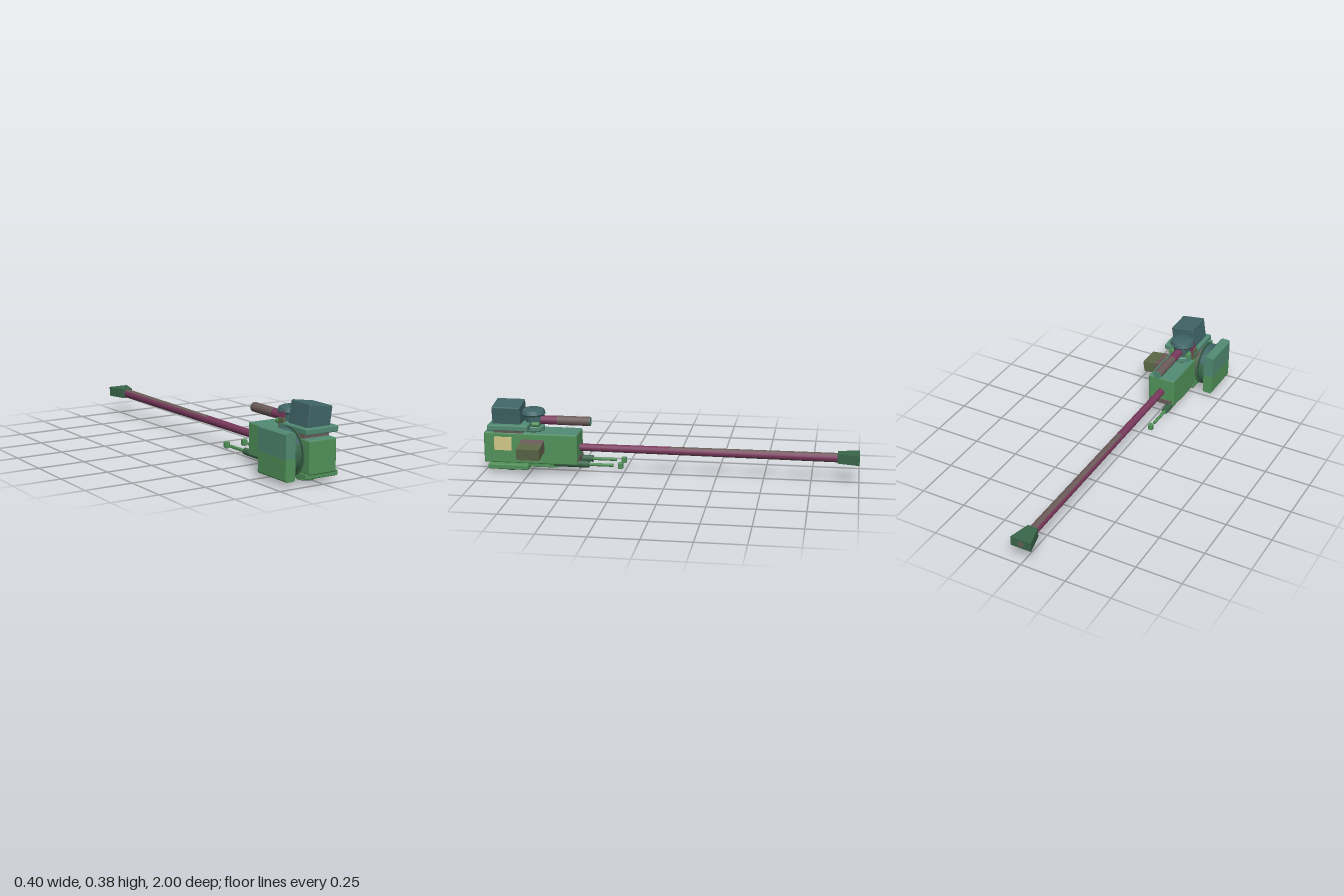
import * as THREE from 'three';
import { toCreasedNormals } from 'three/addons/utils/BufferGeometryUtils.js';
import { RoundedBoxGeometry } from 'three/addons/geometries/RoundedBoxGeometry.js';

const paint = (name, color) => Object.assign(new THREE.MeshStandardMaterial({ color }), { name });

export function createModel() {
  const model = new THREE.Group();
  model.name = 'turret';
  const green = paint('green', 0x52935a);
  const teal = paint('light teal', 0x528b75);
  const darkTeal = paint('dark teal', 0x406567);
  const purple = paint('purple', 0x7a395d);
  const mauve = paint('mauve', 0x6c5c5a);
  const olive = paint('olive', 0x5d6948);
  const yellow = paint('pale yellow', 0xd0c888);
  const darkGreen = paint('dark green', 0x3a674b);

  function add(name, geometry, material, x = 0, y = 0, z = 0) {
    const mesh = new THREE.Mesh(geometry, material);
    mesh.name = name;
    mesh.position.set(x, y, z);
    model.add(mesh);
    return mesh;
  }
  // Chamfered box from its limits
  function block(name, material, [x0, x1], [y0, y1], [z0, z1], bevel = 0.006) {
    const geo = new RoundedBoxGeometry(x1 - x0, y1 - y0, z1 - z0, 1, bevel);
    return add(name, geo, material, (x0 + x1) / 2, (y0 + y1) / 2, (z0 + z1) / 2);
  }
  // Turned part with chamfered rims, local axis y
  function turned(r, h, bevel, start = 0, length = Math.PI * 2) {
    const pts = [[0, -h / 2], [r - bevel, -h / 2], [r, -h / 2 + bevel], [r, h / 2 - bevel], [r - bevel, h / 2], [0, h / 2]];
    const geo = new THREE.LatheGeometry(pts.map(p => new THREE.Vector2(...p)), 32, start, length);
    return toCreasedNormals(geo, 0.6);
  }
  // Tube along z between z0 (back) and z1 (front)
  function tubeZ(name, material, x, y, z0, z1, r0, r1 = r0, sides = 16, open = false, start = 0, length = Math.PI * 2) {
    const geo = new THREE.CylinderGeometry(r1, r0, z1 - z0, sides, 1, open, start, length);
    geo.rotateX(Math.PI / 2);
    return add(name, geo, material, x, y, (z0 + z1) / 2);
  }

  // Main housing
  block('housing', [green, green, teal, green, green, green], [-0.083, 0.075], [0.05, 0.218], [0.49, 1], 0.008);
  block('sidePanel', yellow, [0.072, 0.077], [0.12, 0.195], [0.847, 0.943], 0.001);
  block('backPanel', mauve, [-0.07, 0.06], [0.057, 0.085], [0.487, 0.492], 0.001);

  // Upper and lower mounting plates with foot disc
  block('upperPlate', teal, [-0.083, 0.107], [0.236, 0.267], [0.75, 0.972]);
  block('lowerPlate', green, [-0.083, 0.107], [0.023, 0.052], [0.75, 0.972]);
  add('footDisc', turned(0.048, 0.018, 0.003), green, -0.005, 0.009, 0.865);

  // Tilted head box and its neck
  const tilt = -0.148;
  const head = add('headBox', new RoundedBoxGeometry(0.134, 0.13, 0.155, 1, 0.007), darkTeal, 0.0125, 0.306, 0.872);
  head.rotation.z = tilt;
  const neck = add('neck', new THREE.BoxGeometry(0.148, 0.05, 0.16), mauve, -0.003, 0.222, 0.865);
  neck.rotation.z = tilt * 0.6;

  // Tilted side box in two colours
  const sideBox = new THREE.Group();
  sideBox.name = 'sideBox';
  sideBox.position.set(0.125, 0.144, 0.73);
  sideBox.rotation.z = tilt;
  for (const [name, mat, x0, x1] of [['sideBoxInner', mauve, -0.07, 0], ['sideBoxOuter', olive, 0, 0.072]]) {
    const m = add(name, new THREE.BoxGeometry(x1 - x0, 0.062, 0.124), mat, (x0 + x1) / 2, 0.002, 0);
    sideBox.add(m);
  }
  model.add(sideBox);

  // Square side shield, upper and lower halves, chamfered profile run along z
  const c = 0.008;
  const halves = [
    ['shieldUpper', teal, [[-0.2, 0.137], [-0.145, 0.137], [-0.145, 0.262 - c], [-0.145 - c, 0.262], [-0.2 + c, 0.262], [-0.2, 0.262 - c]]],
    ['shieldLower', green, [[-0.2 + c, 0.027], [-0.145 - c, 0.027], [-0.145, 0.027 + c], [-0.145, 0.137], [-0.2, 0.137], [-0.2, 0.027 + c]]],
  ];
  for (const [name, mat, pts] of halves) {
    const shape = new THREE.Shape(pts.map(p => new THREE.Vector2(...p)));
    add(name, new THREE.ExtrudeGeometry(shape, { depth: 0.228, bevelEnabled: false }), mat, 0, 0, 0.745);
  }

  // Round discs between the shield and the housing, axis along x
  const disc = (name, mat, r, x0, x1, bevel, ...arc) => {
    add(name, turned(r, x1 - x0, bevel, ...arc), mat, (x0 + x1) / 2, 0.145, 0.86).rotation.z = -Math.PI / 2;
  };
  const up = Math.PI * 1.5, wedge = 1.08;
  disc('wheelUpper', darkTeal, 0.118, -0.142, -0.108, 0.006, up - wedge, wedge * 2);
  disc('wheelLower', darkGreen, 0.118, -0.142, -0.108, 0.006, up + wedge, Math.PI * 2 - wedge * 2);
  disc('thinDisc', darkGreen, 0.121, -0.103, -0.098, 0.001);
  disc('innerDrum', mauve, 0.1, -0.094, -0.08, 0.003);
  disc('axle', purple, 0.03, -0.15, -0.08, 0.002);
  for (const y of [0.06, 0.23]) for (const z of [0.78, 0.94]) {
    add('shieldPin', turned(0.012, 0.016, 0.003), y > 0.1 ? teal : green, -0.14, y, z).rotation.z = -Math.PI / 2;
  }

  // Long barrel: top, side and bottom strips
  const bx = -0.005, by = 0.131, q = Math.PI / 4;
  const radius = z => 0.02 + (0.49 - z) / 1.38 * 0.005;
  for (const [z0, z1, topMat] of [[-0.89, 0, mauve], [0, 0.5, purple]]) {
    const strip = (name, mat, start, length) =>
      tubeZ(name, mat, bx, by, z0, z1, radius(z0), radius(z1), 4, true, start, length);
    strip('barrelTop', topMat, Math.PI - q, q * 2);
    strip('barrelRight', purple, q, q * 2);
    strip('barrelLeft', purple, Math.PI + q, q * 2);
    strip('barrelBottom', olive, -q, q * 2);
  }

  // Flared muzzle: box widened towards the back
  const muzzle = new THREE.BoxGeometry(1, 0.052, 0.115);
  const p = muzzle.attributes.position;
  for (let i = 0; i < p.count; i++) p.setX(i, p.getX(i) * (p.getZ(i) < 0 ? 0.115 : 0.056));
  muzzle.computeVertexNormals();
  add('muzzle', muzzle, darkGreen, -0.007, 0.132, -0.9425);
  tubeZ('muzzleBore', mauve, -0.007, 0.132, -1.001, -0.996, 0.016);

  // Rounded sight mount with a sighting tube
  const cap = [[0, 0.303], [0.062, 0.303], [0.068, 0.312], [0.06, 0.332], [0.045, 0.338], [0, 0.338]];
  add('mountCap', toCreasedNormals(new THREE.LatheGeometry(cap.map(a => new THREE.Vector2(...a)), 24), 0.6), darkTeal, -0.007, 0, 0.745);
  add('mountBody', turned(0.045, 0.06, 0.008), darkTeal, -0.007, 0.276, 0.74);
  add('mountBase', turned(0.058, 0.03, 0.005), teal, -0.007, 0.233, 0.74);
  const strap = block('mountStrap', purple, [-0.074, -0.06], [0.25, 0.32], [0.735, 0.775], 0.003);
  strap.rotation.z = -0.1;
  block('mountBracket', olive, [-0.082, -0.066], [0.218, 0.287], [0.745, 0.785], 0.003);
  for (const x of [-0.058, 0.044]) tubeZ('mountStub', green, x, 0.262, 0.7, 0.74, 0.013);
  tubeZ('sightTubeRear', purple, -0.007, 0.276, 0.61, 0.74, 0.024);
  tubeZ('sightTube', mauve, -0.007, 0.276, 0.432, 0.61, 0.025);
  tubeZ('sightLens', teal, -0.007, 0.276, 0.43, 0.433, 0.0245);

  // Twin rails under the housing with rods and end knobs
  for (const x of [-0.06, 0.048]) {
    tubeZ('railSleeve', darkGreen, x, 0.053, 0.43, 0.62, 0.019, 0.019, 8);
    block('railBlock', green, [x - 0.014, x + 0.014], [0.03, 0.055], [0.6, 0.76], 0.003);
    tubeZ('railRod', green, x, 0.053, 0.3, 0.44, 0.009, 0.009, 8);
    block('railKnob', green, [x - 0.013, x + 0.013], [0.036, 0.07], [0.247, 0.273], 0.005);
  }
  return model;
}
